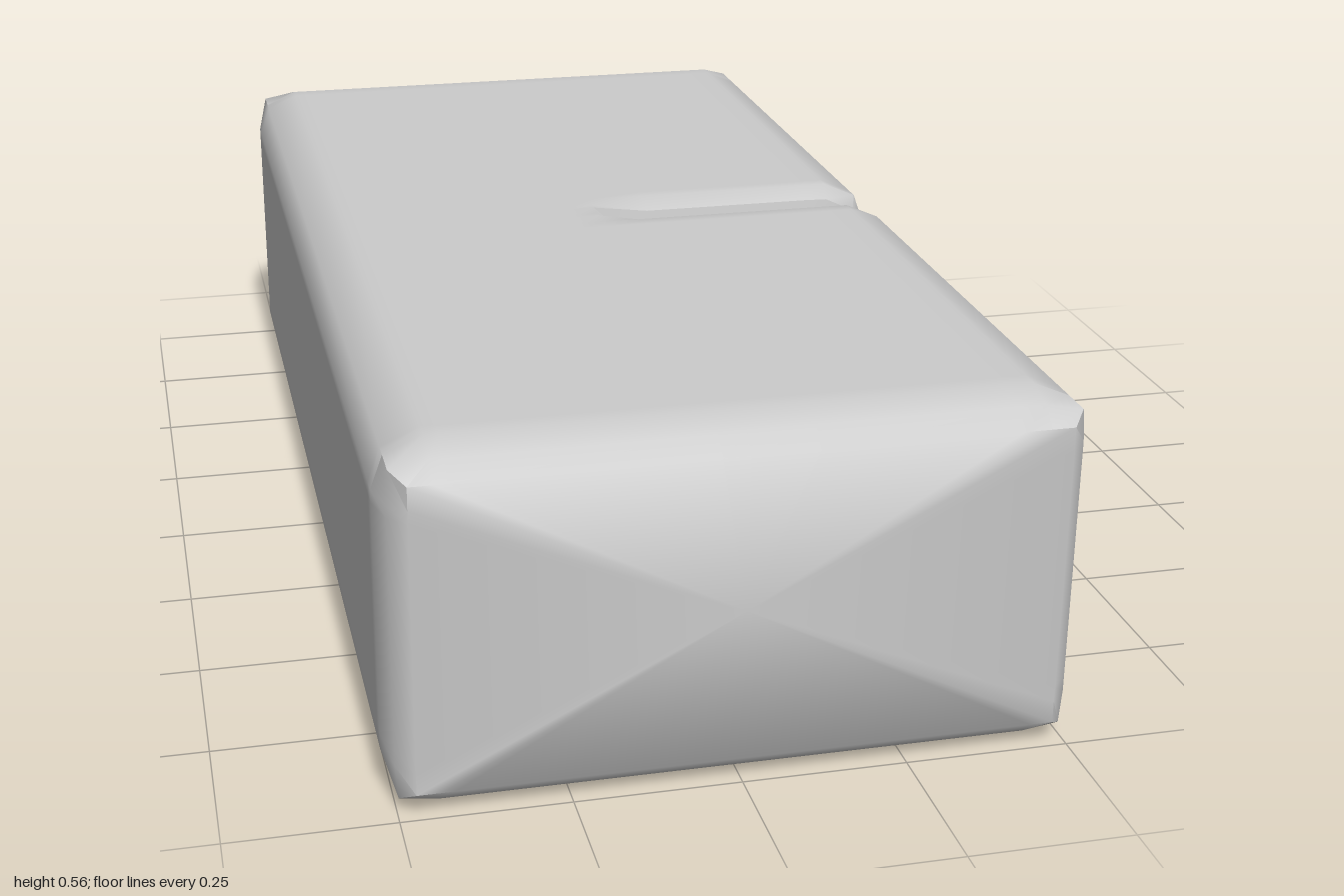
import * as THREE from 'three';
import { toCreasedNormals } from 'three/addons/utils/BufferGeometryUtils.js';

const W = 0.515, H = 0.555;

// Cross-section, clockwise from the top left: [x, y, grooveX, grooveY]
const section = [
  [-0.44, 0.555], [-0.42, 0.555], [-0.04, 0.555], [0, 0.555],
  [0.1, 0.555, 0.1, 0.46], [0.4, 0.555, 0.36, 0.46], [0.44, 0.555, 0.4, 0.455],
  [0.497, 0.53, 0.425, 0.435], [0.515, 0.48, 0.44, 0.4], [0.515, 0.46, 0.44, 0.38],
  [0.515, 0.3, 0.44, 0.3], [0.515, 0.25], [0.515, 0.1], [0.515, 0.075],
  [0.497, 0.022], [0.44, 0], [0.42, 0], [-0.42, 0], [-0.44, 0],
  [-0.497, 0.022], [-0.515, 0.075], [-0.515, 0.1], [-0.515, 0.46], [-0.515, 0.48],
  [-0.497, 0.53],
];

// Half of the stations along the length: [z, edge inset, groove depth 0..1]
const half = [
  [0.016, 0, 1], [0.03, 0, 0.18], [0.065, 0, 0], [0.09, 0, 0],
  [0.89, 0, 0], [0.92, 0, 0], [0.972, 0.014, 0], [1, 0.04, 0],
];
const stations = [...half.map(([z, d, g]) => [-z, d, g]).reverse(), ...half];

function sectionPoint([x, y, gx = x, gy = y], [z, inset, depth]) {
  const px = THREE.MathUtils.lerp(x, gx, depth);
  const py = THREE.MathUtils.lerp(y, gy, depth);
  return [
    THREE.MathUtils.clamp(px, -W + inset, W - inset),
    THREE.MathUtils.clamp(py, inset, H - inset),
    z,
  ];
}

// Loft the section through the stations and close both ends
function bodyGeometry() {
  const n = section.length, last = stations.length - 1;
  const positions = [], index = [];
  for (const s of stations) for (const p of section) positions.push(...sectionPoint(p, s));
  for (let i = 0; i < last; i++) {
    for (let j = 0; j < n; j++) {
      const k = (j + 1) % n;
      const a = i * n + j, b = i * n + k, c = b + n, d = a + n;
      index.push(a, d, b, b, d, c);
    }
  }
  const back = positions.length / 3, front = back + 1;
  positions.push(0, H / 2, -1, 0, H / 2, 1);
  for (let j = 0; j < n; j++) {
    const k = (j + 1) % n;
    index.push(back, j, k, front, last * n + k, last * n + j);
  }
  const geometry = new THREE.BufferGeometry();
  geometry.setAttribute('position', new THREE.Float32BufferAttribute(positions, 3));
  geometry.setIndex(index);
  return toCreasedNormals(geometry, 0.83);
}

export function createModel() {
  const group = new THREE.Group();
  group.name = 'groovedBlock';

  // Bevelled block with a slot across half the top and down one side
  const body = new THREE.Mesh(bodyGeometry(), new THREE.MeshStandardMaterial({ color: 0xcccccc }));
  body.name = 'blockBody';
  group.add(body);
  return group;
}
